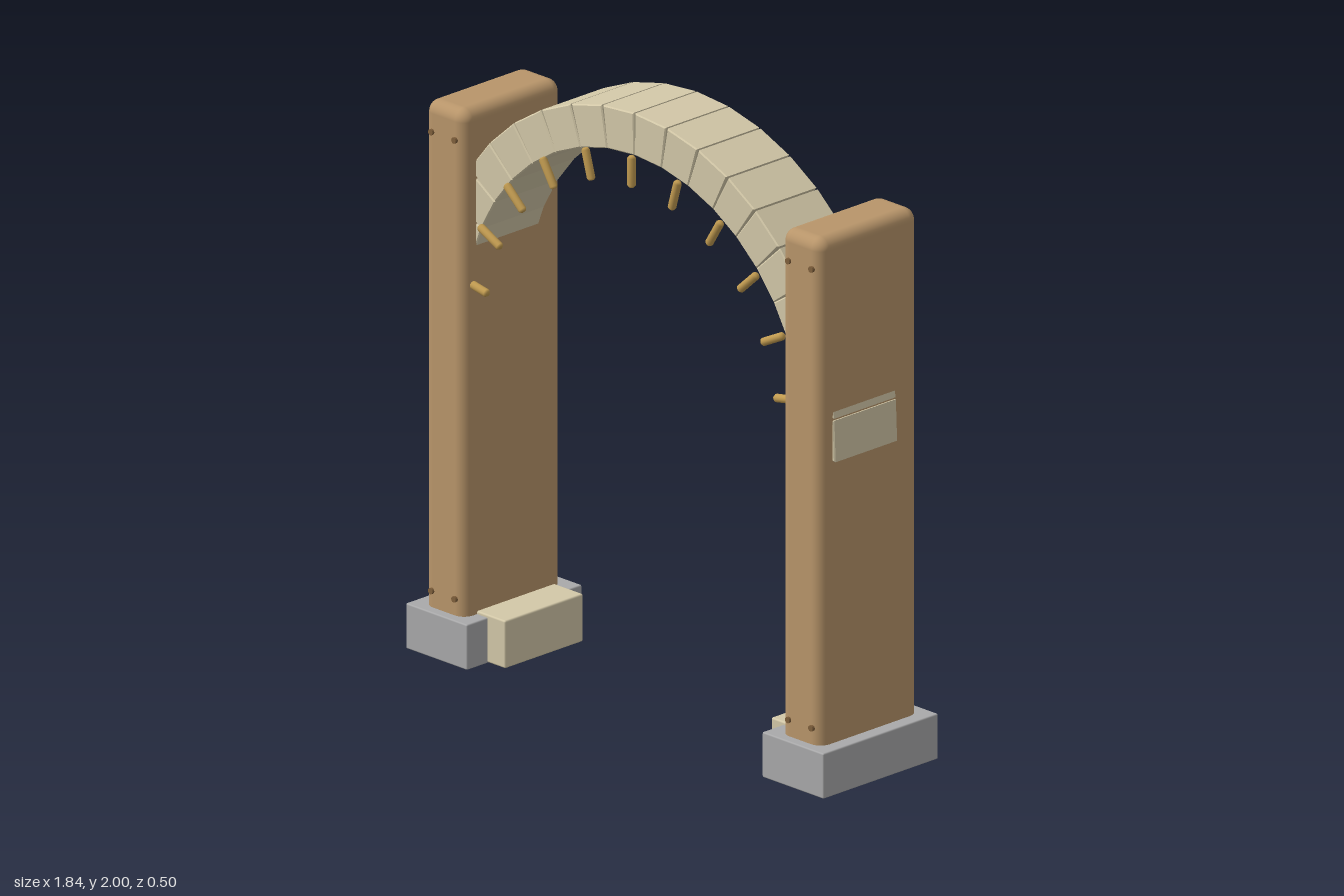
import * as THREE from 'three';
import { RoundedBoxGeometry } from 'three/addons/geometries/RoundedBoxGeometry.js';

const material = (name, color) => {
  const m = new THREE.MeshStandardMaterial({ color });
  m.name = name;
  return m;
};

export function createModel() {
  const wood = material('brown wood', 0xb8956a);
  const stone = material('cream stone', 0xd3c8a8);
  const grey = material('grey', 0xa9a9aa);
  const peg = material('golden peg', 0xc09a50);
  const bronze = material('dark bronze', 0x80603c);

  const group = new THREE.Group();
  const add = (name, geometry, mat, x = 0, y = 0, z = 0, parent = group) => {
    const mesh = new THREE.Mesh(geometry, mat);
    mesh.name = name;
    mesh.position.set(x, y, z);
    parent.add(mesh);
    return mesh;
  };

  // Pillars, plinths, screws and the stone blocks beside the plinths
  const pillarGeo = new RoundedBoxGeometry(0.177, 1.815, 0.43, 5, 0.04);
  const plinthGeo = new RoundedBoxGeometry(0.27, 0.15, 0.5, 2, 0.005);
  const screwGeo = new THREE.CylinderGeometry(0.01, 0.01, 0.02, 12).rotateX(Math.PI / 2);
  for (const side of [-1, 1]) {
    add('pillar', pillarGeo, wood, side * 0.785, 0.9175, 0.002);
    add('plinth', plinthGeo, grey, side * 0.785, 0.075, 0);
    for (const x of [0.735, 0.837])
      for (const y of [0.205, 1.725]) add('screw', screwGeo, bronze, side * x, y, 0.215);
    const inner = side < 0 ? 0.573 : 0.598;
    const width = 0.75 - inner;
    add('footBlock', new RoundedBoxGeometry(width, 0.158, 0.34, 2, 0.006), stone,
      side * (inner + width / 2), 0.081, -0.01);
  }

  // Arch of twenty wedge stones around one centre
  const centreY = 1.115, rIn = 0.745, rOut = 0.885;
  const step = THREE.MathUtils.degToRad(9.23), count = 20;
  const bevel = 0.004;
  const half = step / 2;
  const gap = 0.003;
  const wedge = new THREE.Shape();
  const corner = (r, s, pad) => [
    s * (r * Math.sin(half) - pad), r * Math.cos(half),
  ];
  wedge.moveTo(...corner(rIn + bevel, -1, bevel));
  wedge.lineTo(...corner(rIn + bevel, 1, bevel));
  wedge.lineTo(...corner(rOut - bevel, 1, bevel + gap));
  wedge.lineTo(...corner(rOut - bevel, -1, bevel + gap));
  const wedgeGeo = new THREE.ExtrudeGeometry(wedge, {
    depth: 0.275 - 2 * bevel, bevelEnabled: true, bevelSize: bevel,
    bevelThickness: bevel, bevelSegments: 1,
  }).translate(0, 0, -0.11 + bevel);
  const arch = new THREE.Group();
  arch.name = 'arch';
  arch.position.y = centreY;
  group.add(arch);
  for (let i = 0; i < count; i++)
    add('archStone', wedgeGeo, stone, 0, 0, 0, arch).rotation.z = (i - (count - 1) / 2) * step;

  // Round-ended pegs fanned along the front inner edge of the arch
  const r = 0.0135, top = 0.052;
  const pegGeo = new THREE.LatheGeometry([
    [0, -top], [r * 0.6, -top], [r, -top + 0.007],
    [r, top - 0.007], [r * 0.6, top], [0, top],
  ].map(([x, y]) => new THREE.Vector2(x, y)), 14).translate(0, 0.695, 0.176);
  for (let i = -5; i <= 5; i++)
    add('peg', pegGeo, peg, 0, 0, 0, arch).rotation.z = THREE.MathUtils.degToRad(i * 15.9);

  // Leaning metal rod inside the arch
  const rod = add('rod', new THREE.CylinderGeometry(0.0175, 0.0175, 0.478, 20), grey, 0.543, 1.398, -0.06);
  rod.rotation.z = THREE.MathUtils.degToRad(21.5);

  return group;
}
